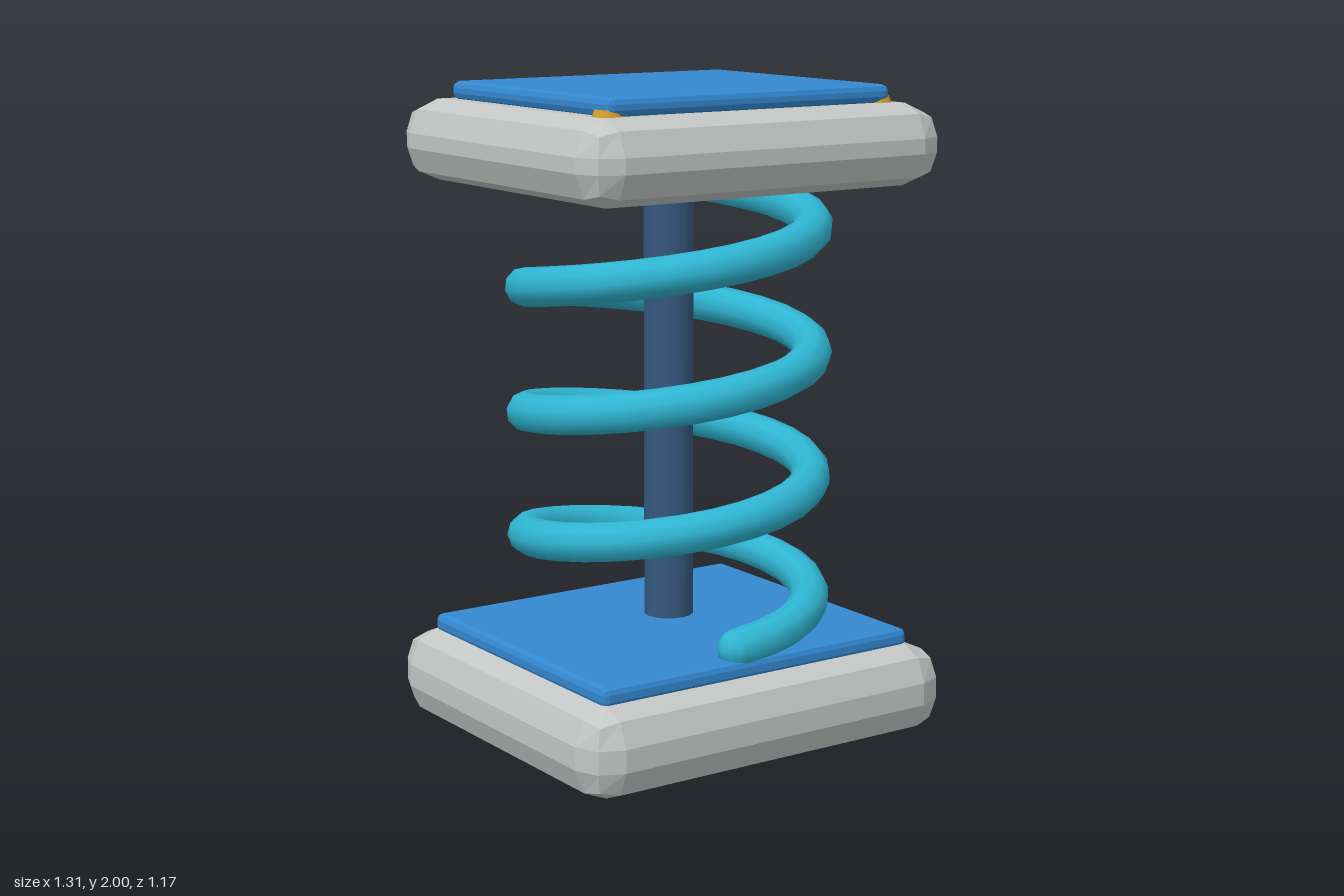
import * as THREE from 'three';
import { RoundedBoxGeometry } from 'three/addons/geometries/RoundedBoxGeometry.js';

const material = (name, color, flatShading = false) => {
  const m = new THREE.MeshStandardMaterial({ color, flatShading });
  m.name = name;
  return m;
};

// Rising coil: angle 0 is the front, turning towards +x
class Helix extends THREE.Curve {
  constructor(radius, startY, pitch, from, to) {
    super();
    Object.assign(this, { radius, startY, pitch, from, to });
  }
  getPoint(t, target = new THREE.Vector3()) {
    const a = this.from + (this.to - this.from) * t;
    return target.set(
      this.radius * Math.sin(a),
      this.startY + this.pitch * a / (2 * Math.PI),
      this.radius * Math.cos(a)
    );
  }
}

export function createModel() {
  const model = new THREE.Group();
  model.name = 'springPlatform';

  const grey = material('light grey', 0xc4c6c6, true);
  const blue = material('pad blue', 0x3388d0, true);
  const teal = material('spring teal', 0x2fb5d2);
  const navy = material('rod navy', 0x36587e);
  const gold = material('stud gold', 0xd09a2a);

  const add = (name, geometry, mat, x = 0, y = 0, z = 0) => {
    const mesh = new THREE.Mesh(geometry, mat);
    mesh.name = name;
    mesh.position.set(x, y, z);
    model.add(mesh);
    return mesh;
  };

  // Box with bevelled edges, placed by its bottom and top heights
  const slab = (name, mat, width, depth, bottom, top, bevel) =>
    add(name, new RoundedBoxGeometry(width, top - bottom, depth, 1, bevel), mat, 0, (bottom + top) / 2, 0);

  // Base and top plates with their pads
  slab('basePlate', grey, 1.31, 1.175, 0, 0.28, 0.105);
  slab('basePad', blue, 1.12, 0.98, 0.265, 0.327, 0.02);
  slab('topPlate', grey, 1.26, 1.13, 1.7, 1.946, 0.1);
  slab('topPad', blue, 1.0, 0.875, 1.944, 2, 0.02);

  // Central rod
  add('centreRod', new THREE.CylinderGeometry(0.077, 0.077, 1.335, 16), navy, 0, 1.0225, 0);

  // Spring with rounded ends
  const tubeRadius = 0.06;
  const coil = new Helix(0.44, 0.36, 0.385, -0.12, 7 * Math.PI + 0.12);
  add('spring', new THREE.TubeGeometry(coil, 98, tubeRadius, 10), teal);
  for (const t of [0, 1]) {
    const p = coil.getPoint(t);
    add('springEnd', new THREE.SphereGeometry(tubeRadius, 12, 8), teal, p.x, p.y, p.z);
  }

  // Studs under the front corners of the top pad
  for (const side of [-1, 1]) {
    add('frontStud', new THREE.CylinderGeometry(0.036, 0.045, 0.022, 16), gold, side * 0.48, 1.954, 0.397);
  }

  return model;
}
